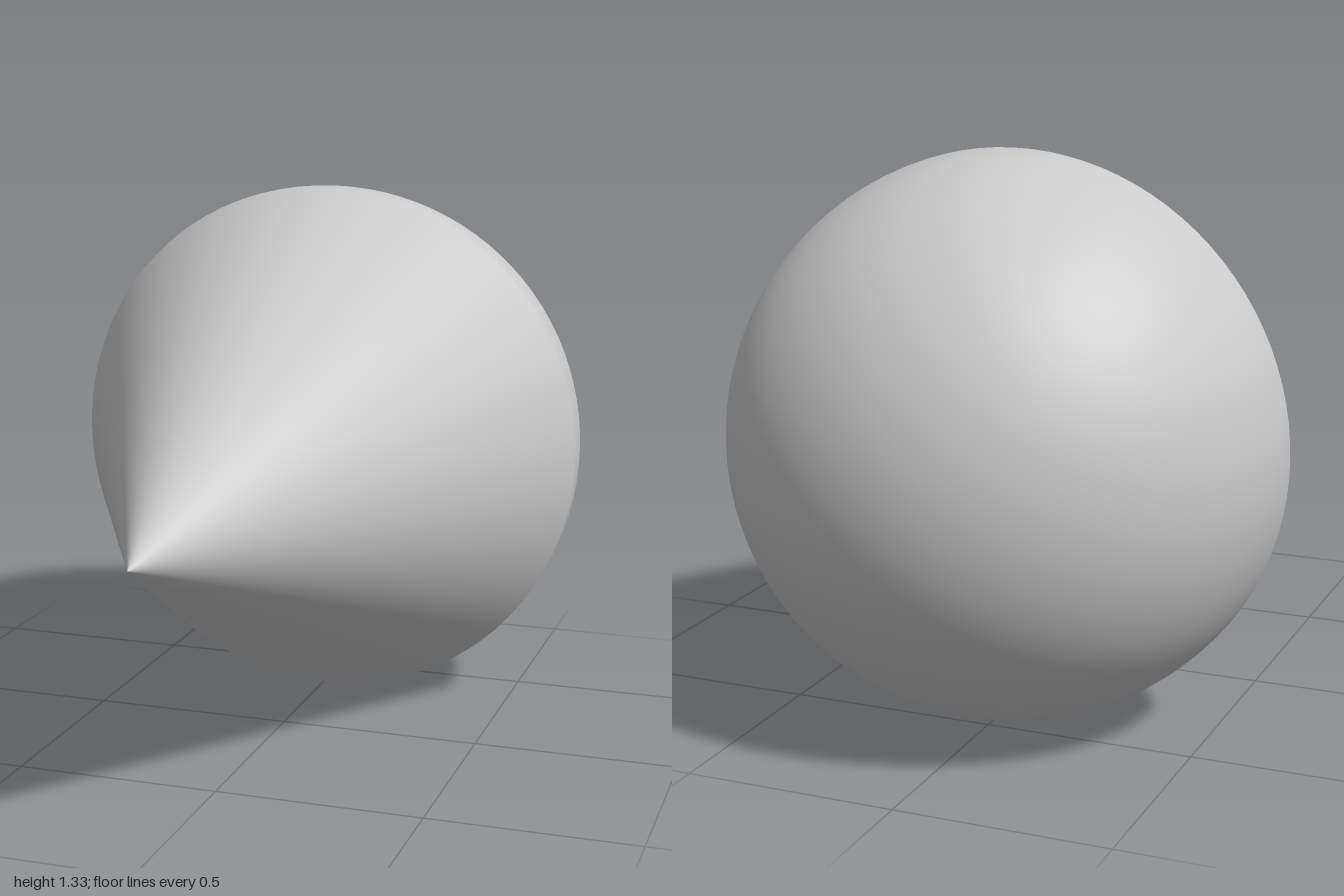
import * as THREE from 'three';

const RADIUS = 2 / 3;      // shared by cone rim and dome
const CONE_LENGTH = 4 / 3;
const RIM_Z = -1 / 3;      // plane where cone and dome meet
const SEGMENTS = 96;

export function createModel() {
  const model = new THREE.Group();
  model.name = 'coneWithDome';
  const material = new THREE.MeshStandardMaterial({ color: 0xcccccc });

  const addPart = (name, geometry, z) => {
    const mesh = new THREE.Mesh(geometry, material);
    mesh.name = name;
    mesh.position.set(0, RADIUS, z);
    model.add(mesh);
  };

  // Cone lying on its side, tip towards the front
  const cone = new THREE.ConeGeometry(RADIUS, CONE_LENGTH, SEGMENTS, 24, true);
  cone.rotateX(Math.PI / 2);
  addPart('cone', cone, RIM_Z + CONE_LENGTH / 2);

  // Half sphere closing the back of the cone
  const dome = new THREE.SphereGeometry(RADIUS, SEGMENTS, 32, 0, Math.PI * 2, 0, Math.PI / 2);
  dome.rotateX(-Math.PI / 2);
  addPart('dome', dome, RIM_Z);

  return model;
}
